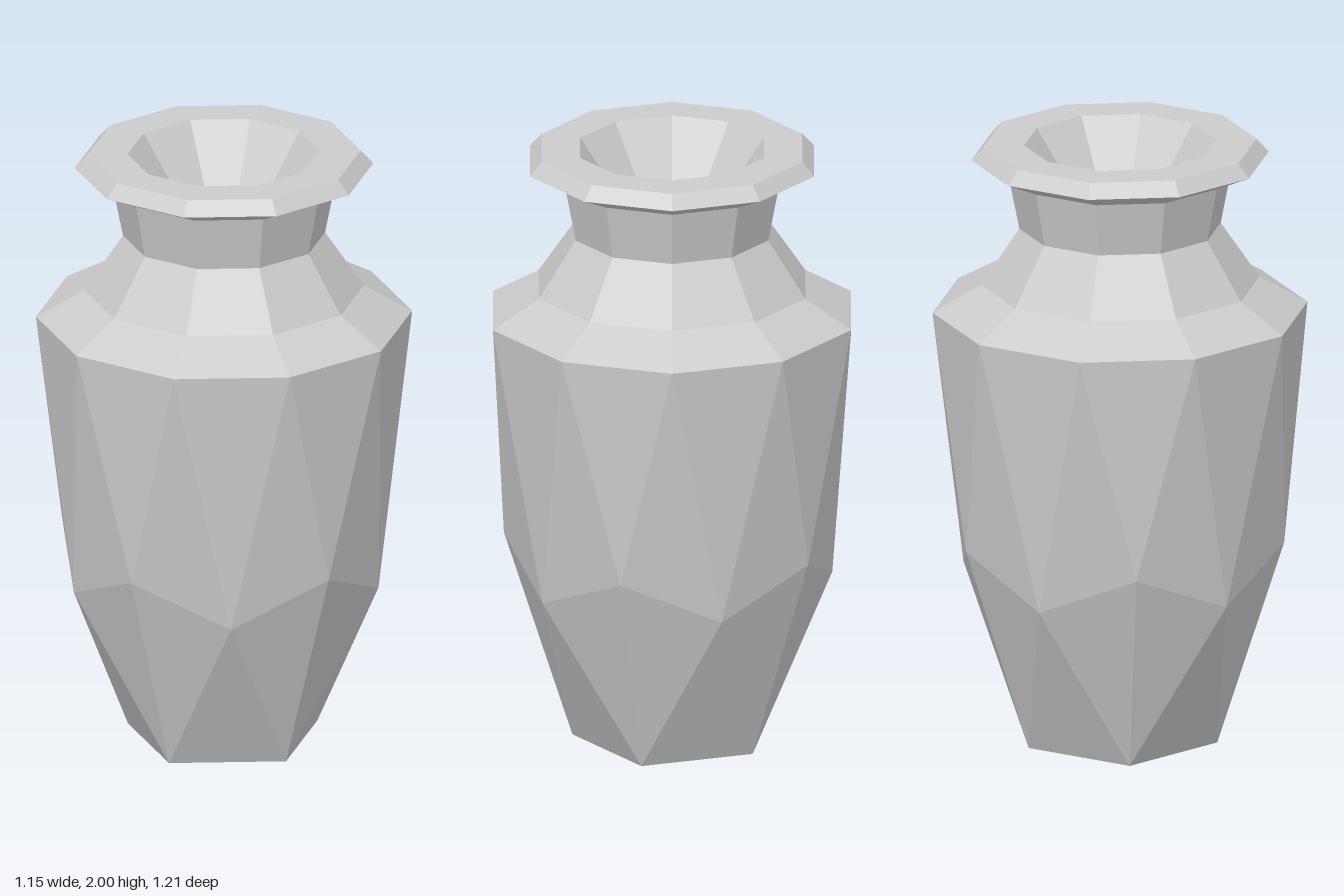
import * as THREE from 'three';

const SIDES = 10;

// Ring of points around the y axis; radius and height may alternate by index
function ring(count, startDeg, radiusAt, heightAt) {
  return Array.from({ length: count }, (_, i) => {
    const a = THREE.MathUtils.degToRad(startDeg + (360 / count) * i);
    const r = radiusAt(i);
    return new THREE.Vector3(r * Math.cos(a), heightAt(i), r * Math.sin(a));
  });
}

// Faceted body: five-sided foot, zigzag waist, ten-sided shoulder
function bodyGeometry() {
  const foot = ring(5, 0, () => 0.32, () => 0);
  const waist = ring(SIDES, 0, (i) => (i % 2 ? 0.515 : 0.54), (i) => (i % 2 ? 0.555 : 0.69));
  const shoulder = ring(SIDES, 18, () => 0.605, () => 1.445);
  const points = [];
  const tri = (a, b, c) => points.push(a, b, c);
  const w = (i) => waist[(i + SIDES) % SIDES];
  const s = (i) => shoulder[i % SIDES];
  const f = (i) => foot[i % 5];

  // Foot up to waist
  for (let j = 0; j < 5; j++) {
    tri(f(j), w(2 * j - 1), w(2 * j));
    tri(f(j), w(2 * j), w(2 * j + 1));
    tri(f(j), w(2 * j + 1), f(j + 1));
  }
  // Waist up to shoulder
  for (let k = 0; k < SIDES; k++) {
    tri(w(k), s(k), w(k + 1));
    tri(w(k + 1), s(k), s(k + 1));
  }
  // Flat base
  for (let j = 1; j < 4; j++) tri(f(0), f(j), f(j + 1));

  const geometry = new THREE.BufferGeometry().setFromPoints(points);
  geometry.computeVertexNormals();
  return geometry;
}

// Ten-sided turned part from [radius, height] pairs
function turned(profile) {
  return new THREE.LatheGeometry(profile.map(([r, y]) => new THREE.Vector2(r, y)), SIDES);
}

export function createModel() {
  const model = new THREE.Group();
  model.name = 'vase';
  const material = new THREE.MeshStandardMaterial({ color: 0xcccccc, flatShading: true });

  const add = (name, geometry) => {
    const mesh = new THREE.Mesh(geometry, material);
    mesh.name = name;
    model.add(mesh);
  };

  add('body', bodyGeometry());
  add('shoulder', turned([[0.605, 1.445], [0.45, 1.535], [0.325, 1.72]]));
  add('neck', turned([[0.325, 1.72], [0.36, 1.9]]));
  add('rim', turned([[0.36, 1.9], [0.48, 1.955], [0.44, 2], [0.31, 2]]));
  // Conical hollow inside the mouth
  add('mouth', turned([[0.31, 2], [0, 1.57]]));

  return model;
}
